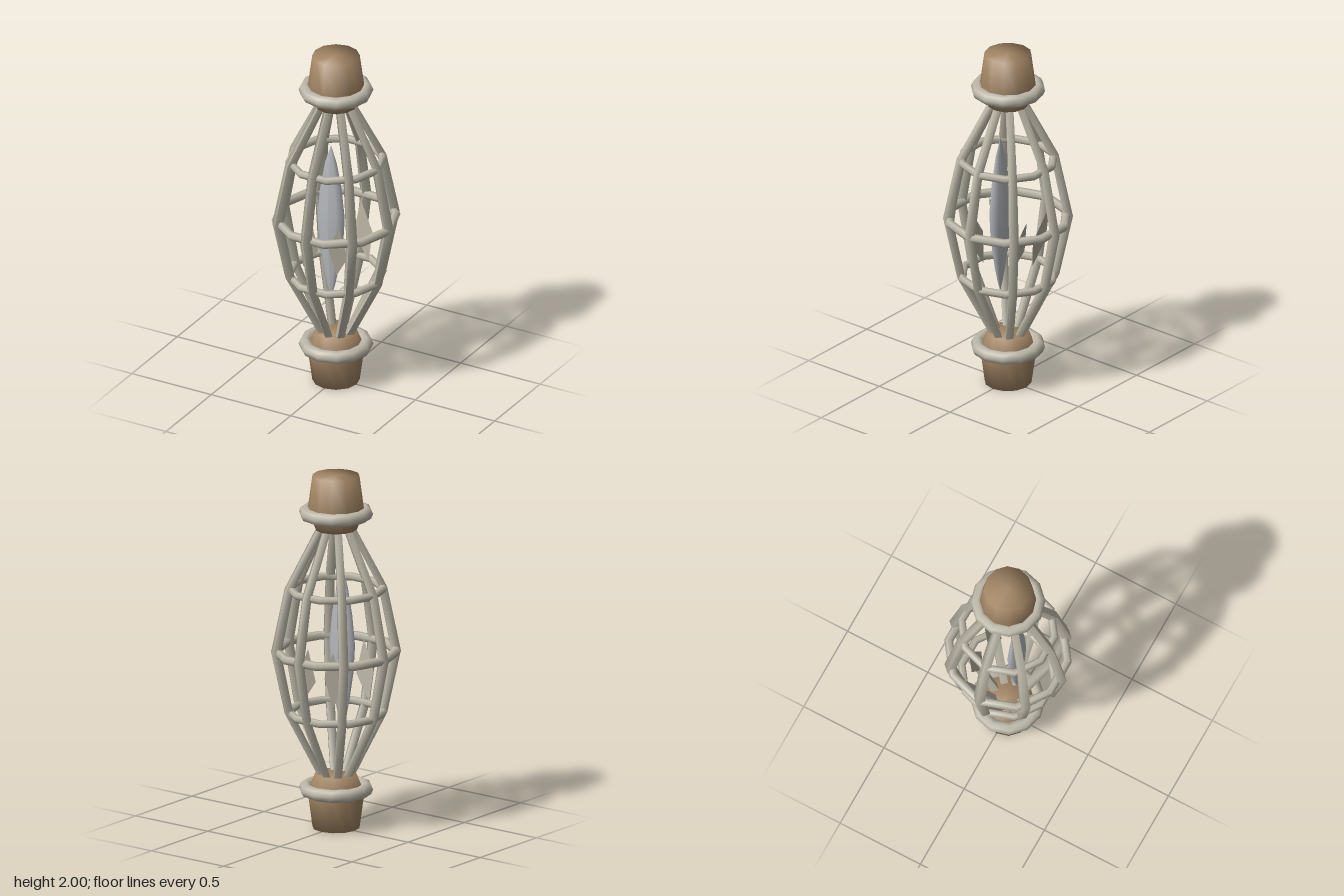
import * as THREE from 'three';

const mat = (name, color, extra = {}) => {
  const m = new THREE.MeshStandardMaterial({ color, ...extra });
  m.name = name;
  return m;
};

export function createModel() {
  const group = new THREE.Group();
  const wood = mat('brown wood', 0xa28564);
  const bone = mat('pale bone', 0xbcb7a8);
  const steel = mat('grey crystal', 0xb4b7bb);
  const leafMat = mat('dull leaf', 0xb2ac9b, { side: THREE.DoubleSide });
  const add = (name, geo, material, x = 0, y = 0, z = 0) => {
    const mesh = new THREE.Mesh(geo, material);
    mesh.name = name;
    mesh.position.set(x, y, z);
    group.add(mesh);
    return mesh;
  };
  const lathe = (pts, sides) =>
    new THREE.LatheGeometry(pts.map(([r, y]) => new THREE.Vector2(r, y)), sides);
  const ring = (name, y, radius, tube, sides, segments) => {
    add(name, new THREE.TorusGeometry(radius, tube, sides, segments).rotateX(Math.PI / 2), bone, 0, y, 0);
  };

  // End caps with softly shaded rims, and the collars around them
  const lower = [[0, 0], [0.13, 0], [0.157, 0.2], [0.115, 0.305], [0, 0.305]];
  const upper = lower.map(([r, y]) => [r, 2 - y]).reverse();
  add('lowerCap', lathe(lower, 12), wood);
  add('upperCap', lathe(upper, 12), wood);
  ring('lowerCollar', 0.22, 0.168, 0.037, 8, 12);
  ring('upperCollar', 1.787, 0.168, 0.037, 8, 12);

  // Cage hoops
  ring('lowerHoop', 0.653, 0.258, 0.022, 6, 10);
  ring('middleHoop', 1.0, 0.33, 0.025, 6, 10);
  ring('upperHoop', 1.355, 0.258, 0.022, 6, 10);

  // Cage bars: diamond section rods bent outward at the hoops
  const path = [[1.72, 0.075], [1.36, 0.258], [1, 0.33], [0.65, 0.258], [0.285, 0.075]];
  for (let i = 0; i < 8; i++) {
    const a = (i * Math.PI) / 4;
    const geo = new THREE.CylinderGeometry(0.035, 0.035, 1, 4, 4);
    const p = geo.attributes.position;
    for (let v = 0; v < p.count; v++) {
      const row = Math.round((0.5 - p.getY(v)) * 4);
      const [y, r] = path[row];
      const s = 1 - 0.1 * Math.abs(row - 2);
      p.setXYZ(v, p.getX(v) * s + r * Math.sin(a), y, p.getZ(v) * s + r * Math.cos(a));
    }
    geo.computeVertexNormals();
    add('cageBar', geo, bone);
  }

  // Flattened spindle hanging inside, slightly forward
  const spindle = lathe([[0, 0.53], [0.022, 0.6], [0.045, 0.7], [0.075, 0.88], [0.084, 1.03],
    [0.066, 1.2], [0.036, 1.36], [0, 1.47]], 10);
  spindle.scale(1, 1, 0.45);
  spindle.computeVertexNormals();
  add('spindle', spindle, steel, 0, 0, 0.055);

  // Four thin kite leaves leaning inward toward the bottom
  const leaf = (pts, turn) => {
    const geo = new THREE.BufferGeometry();
    const xyz = pts.flatMap(([x, y]) => [x, y, 0.115 + (y - 0.71) * 0.19]);
    geo.setAttribute('position', new THREE.Float32BufferAttribute(xyz, 3));
    geo.setIndex([0, 1, 2, 0, 2, 3]);
    geo.computeVertexNormals();
    add('leaf', geo, leafMat).rotation.y = turn;
  };
  for (const turn of [0, Math.PI]) {
    leaf([[0.07, 0.71], [0.155, 0.85], [0.12, 1.05], [0.035, 0.88]], turn);
    leaf([[-0.14, 0.71], [-0.03, 0.85], [-0.055, 1.04], [-0.145, 0.88]], turn);
  }
  return group;
}
